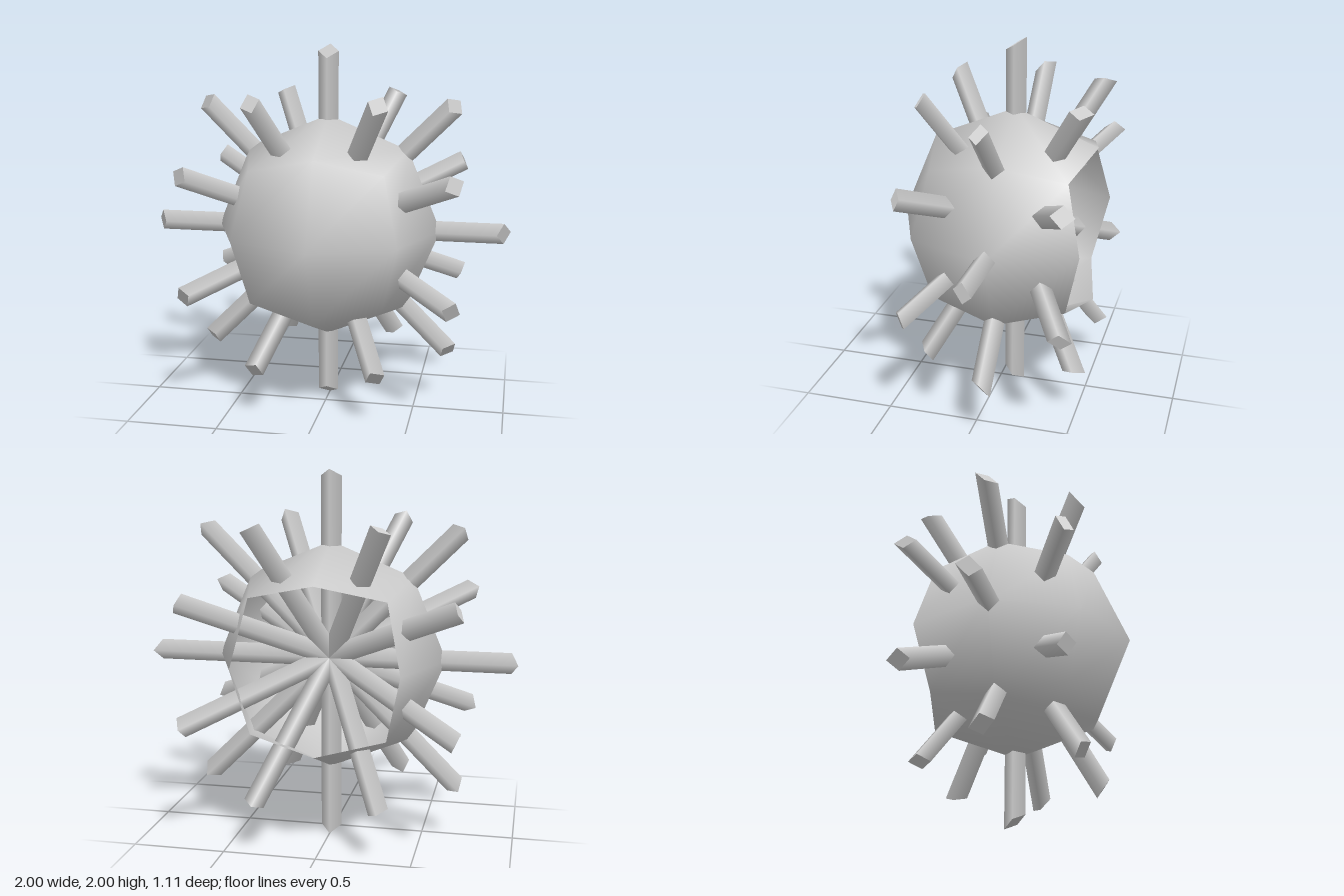
import * as THREE from 'three';
import { mergeVertices } from 'three/addons/utils/BufferGeometryUtils.js';

const material = new THREE.MeshStandardMaterial({ color: 0xcccccc, side: THREE.DoubleSide });

// Coarse rounded shell: a subdivided cube pushed out to a sphere, back face left open
function shellGeometry(radius) {
  let geo = new THREE.BoxGeometry(1, 1, 1, 2, 2, 2);
  geo.setIndex(Array.from(geo.index.array).slice(0, -24));
  geo.clearGroups();
  geo.deleteAttribute('normal');
  geo.deleteAttribute('uv');
  geo = mergeVertices(geo);
  const p = geo.attributes.position;
  const v = new THREE.Vector3();
  for (let i = 0; i < p.count; i++) {
    v.fromBufferAttribute(p, i).setLength(radius);
    p.setXYZ(i, v.x, v.y, v.z);
  }
  geo.scale(1, 1, 1.015);
  geo.computeVertexNormals();
  return geo;
}

// Four-sided rod from the centre outwards, its outer end cut at a slant
function spike(direction, length, slant) {
  const geo = new THREE.CylinderGeometry(0.056, 0.056, length, 4, 1);
  geo.translate(0, length / 2, 0);
  const p = geo.attributes.position;
  for (let i = 0; i < p.count; i++) {
    if (p.getY(i) > length / 2) p.setY(i, length - slant * p.getZ(i));
  }
  // Turn the rod's y to the direction, keeping one corner towards z
  const y = direction.clone().normalize();
  const z = new THREE.Vector3(0, 0, 1).addScaledVector(y, -y.z).normalize();
  const x = new THREE.Vector3().crossVectors(y, z);
  geo.applyMatrix4(new THREE.Matrix4().makeBasis(x, y, z));
  const mesh = new THREE.Mesh(geo, material);
  mesh.name = 'spike';
  return mesh;
}

export function createModel() {
  const model = new THREE.Group();
  model.name = 'spikyBall';
  model.position.set(0, 1, -0.08);

  const shell = new THREE.Mesh(shellGeometry(0.622), material);
  shell.name = 'shell';
  model.add(shell);

  // Ring of eight spikes around the middle
  const ring = new THREE.Group();
  ring.name = 'middleSpikes';
  for (let i = 0; i < 8; i++) {
    const a = (i * Math.PI) / 4;
    ring.add(spike(new THREE.Vector3(Math.cos(a), Math.sin(a), 0), 0.964, 0.64));
  }
  model.add(ring);

  // Eight spikes leaning forwards and eight leaning backwards
  for (const side of [1, -1]) {
    const group = new THREE.Group();
    group.name = side > 0 ? 'frontSpikes' : 'backSpikes';
    for (const sx of [1, -1]) {
      for (const sy of [1, -1]) {
        for (const [x, y] of [[0.72, 0.33], [0.33, 0.72]]) {
          group.add(spike(new THREE.Vector3(sx * x, sy * y, side * 0.415), 0.892, 0.45));
        }
      }
    }
    model.add(group);
  }

  const root = new THREE.Group();
  root.add(model);
  return root;
}
